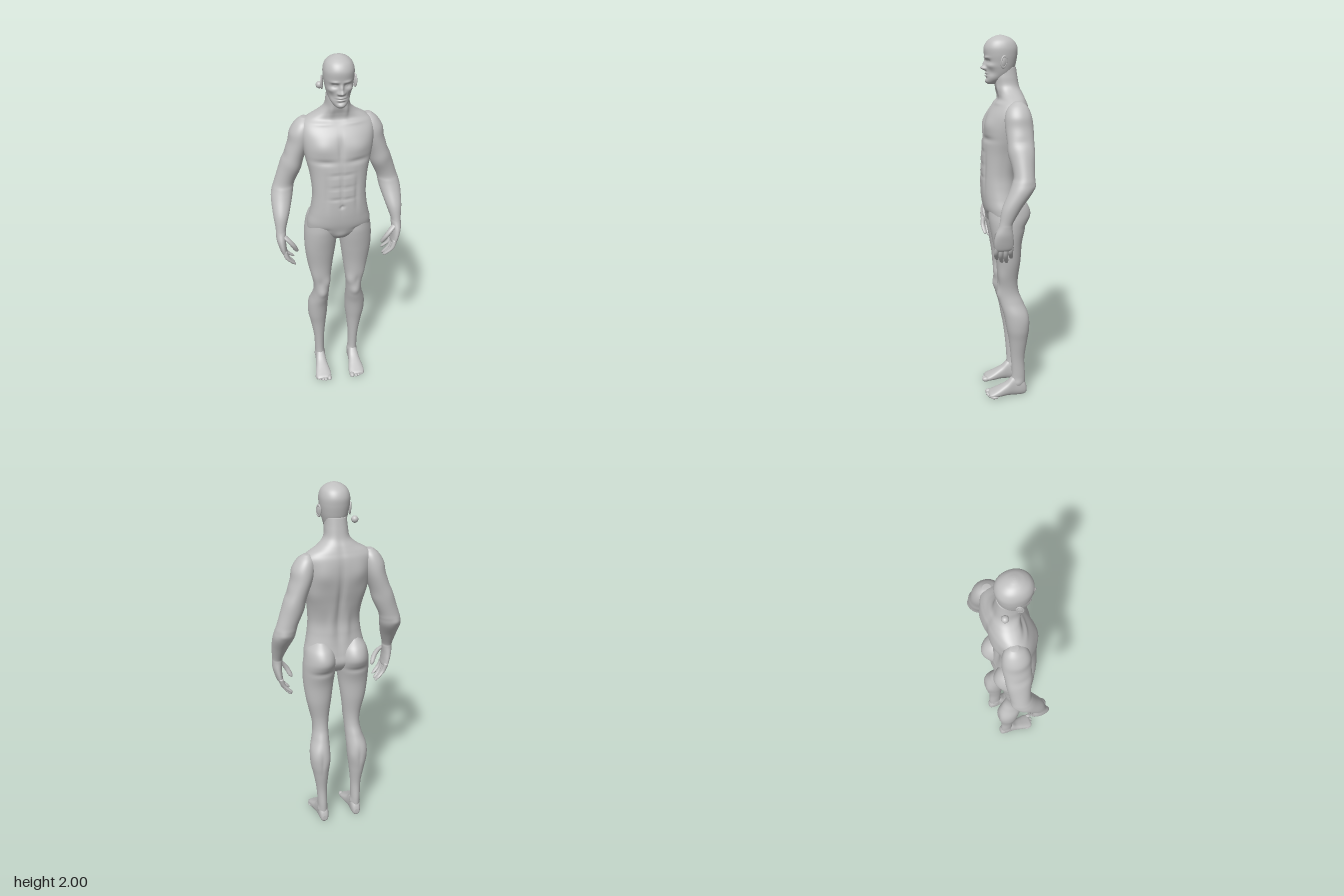
import * as THREE from 'three';

const skin = new THREE.MeshStandardMaterial({ color: 0xc0c0c0 });
skin.name = 'plain grey';

// Catmull-Rom value through four numbers
const cr = (a, b, c, d, t) =>
  0.5 * (2 * b + (c - a) * t + (2 * a - 5 * b + 4 * c - d) * t * t + (3 * b - a - 3 * c + d) * t * t * t);

// Skin over level sections [y, xMin, xMax, zBack, zFront], listed upwards.
// bumps [x, y, z, sx, sy, sz, amount] push the surface out (muscle) or in (groove).
function loft(rows, { side = 1, n = 48, steps = 6, power = 2, bumps = [], mirrorBumps = false } = {}) {
  const pos = [], index = [];
  const close = r => [r[0], (r[1] + r[2]) / 2, (r[1] + r[2]) / 2, (r[3] + r[4]) / 2, (r[3] + r[4]) / 2];
  const rings = [close(rows[0])];
  for (let i = 0; i < rows.length - 1; i++) {
    const at = k => rows[Math.min(rows.length - 1, Math.max(0, k))];
    for (let s = 0; s < steps; s++)
      rings.push(rows[i].map((_, k) => cr(at(i - 1)[k], at(i)[k], at(i + 1)[k], at(i + 2)[k], s / steps)));
  }
  rings.push(rows[rows.length - 1], close(rows[rows.length - 1]));
  const curve = v => Math.sign(v) * Math.pow(Math.abs(v), 2 / power);
  rings.forEach(([y, x0, x1, z0, z1]) => {
    const cx = (x0 + x1) / 2, cz = (z0 + z1) / 2;
    for (let j = 0; j < n; j++) {
      const a = (j / n) * Math.PI * 2;
      let x = cx + ((x1 - x0) / 2) * curve(Math.sin(a));
      let z = cz + ((z1 - z0) / 2) * curve(Math.cos(a));
      const len = Math.hypot(x - cx, z - cz) || 1;
      const dx = (x - cx) / len, dz = (z - cz) / len;
      const bx = mirrorBumps ? Math.abs(x) : x;
      let push = 0;
      for (const [px, py, pz, sx, sy, sz, amount] of bumps)
        push += amount * Math.exp(-(((bx - px) / sx) ** 2) - ((y - py) / sy) ** 2 - ((z - pz) / sz) ** 2);
      x += dx * push;
      z += dz * push;
      pos.push(x * side, y, z);
    }
  });
  for (let i = 0; i < rings.length - 1; i++)
    for (let j = 0; j < n; j++) {
      const a = i * n + j, b = i * n + ((j + 1) % n), c = b + n, d = a + n;
      if (side > 0) index.push(a, b, c, a, c, d);
      else index.push(a, c, b, a, d, c);
    }
  const g = new THREE.BufferGeometry();
  g.setAttribute('position', new THREE.Float32BufferAttribute(pos, 3));
  g.setIndex(index);
  g.computeVertexNormals();
  return g;
}

function add(parent, name, geometry) {
  const m = new THREE.Mesh(geometry, skin);
  m.name = name;
  parent.add(m);
  return m;
}

function ball(parent, name, p, s) {
  const m = add(parent, name, new THREE.SphereGeometry(1, 24, 16));
  m.position.set(...p);
  m.scale.set(...s);
  return m;
}

// Tapered digit along points listed upwards; the lowest is the tip
function digit(points, r, side) {
  const rows = points.map(([x, y, z], i) => {
    const w = i === 0 ? r * 0.45 : i === 1 ? r * 0.85 : r;
    return [y, x - w, x + w, z - w, z + w];
  });
  return loft(rows, { side, n: 14, steps: 4 });
}

// Symmetric section: half width, back, front
const sym = rows => rows.map(([y, w, b, f]) => [y, -w, w, b, f]);

export function createModel() {
  const model = new THREE.Group();
  model.name = 'standingFigure';

  // Torso and neck
  const abLines = [1.405, 1.335, 1.27].map(y => [0.03, y, 0.12, 0.035, 0.008, 0.05, -0.005]);
  add(model, 'torso', loft(sym([
    [0.985, 0.04, -0.04, 0.035], [1.0, 0.09, -0.06, 0.06], [1.05, 0.165, -0.09, 0.095],
    [1.1, 0.172, -0.085, 0.115], [1.16, 0.158, -0.075, 0.125], [1.22, 0.147, -0.066, 0.128],
    [1.29, 0.142, -0.064, 0.127], [1.39, 0.152, -0.088, 0.122], [1.47, 0.17, -0.108, 0.116],
    [1.54, 0.183, -0.12, 0.106], [1.6, 0.188, -0.122, 0.088], [1.645, 0.182, -0.118, 0.058],
    [1.675, 0.152, -0.108, 0.034], [1.705, 0.1, -0.096, 0.035], [1.74, 0.066, -0.08, 0.046],
    [1.79, 0.058, -0.07, 0.055], [1.84, 0.053, -0.062, 0.05]
  ]), {
    n: 112, steps: 9, power: 2.3, mirrorBumps: true, bumps: [
      [0.085, 1.55, 0.1, 0.06, 0.045, 0.06, 0.012],     // chest
      [0.085, 1.475, 0.11, 0.06, 0.014, 0.06, -0.008],
      [0, 1.54, 0.11, 0.012, 0.06, 0.06, -0.009],       // breastbone
      [0, 1.33, 0.13, 0.009, 0.11, 0.05, -0.006],       // belly line
      [0, 1.225, 0.13, 0.009, 0.009, 0.05, -0.01],      // navel
      [0.08, 1.3, 0.1, 0.012, 0.09, 0.06, -0.006],
      [0.09, 1.07, 0.09, 0.03, 0.015, 0.05, -0.006],    // groin
      [0, 1.03, 0.08, 0.035, 0.03, 0.05, 0.012],
      [0.085, 1.66, 0.04, 0.06, 0.01, 0.06, 0.007],     // collar bone
      [0.035, 1.72, 0.03, 0.012, 0.04, 0.03, 0.006],    // neck muscle
      [0, 1.4, -0.1, 0.016, 0.22, 0.06, -0.014],        // spine
      [0.09, 1.57, -0.12, 0.05, 0.06, 0.06, 0.01],      // shoulder blade
      [0.13, 1.44, -0.07, 0.04, 0.07, 0.06, 0.006],
      [0.04, 1.26, -0.065, 0.022, 0.09, 0.04, 0.009],
      ...abLines
    ]
  }));

  // Head with brow, sockets, nose, lips and chin
  const head = new THREE.Group();
  head.name = 'head';
  model.add(head);
  add(head, 'skullAndFace', loft(sym([
    [1.752, 0.016, 0.05, 0.084], [1.762, 0.03, 0.02, 0.094], [1.78, 0.045, -0.01, 0.096],
    [1.805, 0.057, -0.04, 0.095], [1.835, 0.065, -0.055, 0.096], [1.865, 0.071, -0.063, 0.098],
    [1.9, 0.076, -0.069, 0.104], [1.935, 0.076, -0.07, 0.106], [1.965, 0.066, -0.057, 0.092],
    [1.985, 0.046, -0.033, 0.068], [1.996, 0.022, -0.004, 0.042], [2.0, 0.006, 0.014, 0.026]
  ]), {
    n: 120, steps: 9, power: 2.15, mirrorBumps: true, bumps: [
      [0, 1.834, 0.1, 0.011, 0.011, 0.04, 0.026],       // nose tip
      [0, 1.855, 0.1, 0.009, 0.018, 0.04, 0.014],       // nose bridge
      [0.013, 1.83, 0.1, 0.007, 0.007, 0.04, 0.008],    // nostril
      [0.031, 1.868, 0.09, 0.016, 0.011, 0.04, -0.012], // socket
      [0.031, 1.867, 0.09, 0.009, 0.006, 0.04, 0.005],  // eye
      [0.03, 1.886, 0.1, 0.02, 0.007, 0.04, 0.006],     // brow
      [0.048, 1.845, 0.08, 0.016, 0.013, 0.04, 0.005],  // cheekbone
      [0.045, 1.812, 0.07, 0.016, 0.018, 0.04, -0.005],
      [0, 1.807, 0.1, 0.019, 0.005, 0.04, 0.007],       // lips
      [0, 1.795, 0.1, 0.016, 0.005, 0.04, 0.007],
      [0, 1.801, 0.1, 0.022, 0.002, 0.04, -0.005],
      [0, 1.784, 0.1, 0.018, 0.006, 0.04, -0.005],
      [0, 1.767, 0.09, 0.016, 0.01, 0.04, 0.005]        // chin
    ]
  }));
  ball(model, 'looseBall', [-0.082, 1.828, -0.058], [0.018, 0.018, 0.018]);

  for (const side of [1, -1]) {
    const label = side > 0 ? 'left' : 'right';

    // Ear
    const ear = new THREE.Group();
    ear.name = label + 'Ear';
    ball(ear, 'earShell', [0, 0, 0], [0.006, 0.026, 0.015]);
    const rim = add(ear, 'earRim', new THREE.TorusGeometry(0.017, 0.0045, 10, 28));
    rim.rotation.y = Math.PI / 2;
    rim.scale.set(0.9, 1.6, 1);
    ear.position.set(side * 0.082, 1.866, 0.012);
    ear.rotation.set(-0.15, side * 0.35, 0);
    head.add(ear);

    // Arm from palm to shoulder
    add(model, label + 'Arm', loft([
      [0.93, 0.298, 0.315, 0.015, 0.08], [0.945, 0.29, 0.324, -0.002, 0.092], [0.98, 0.293, 0.335, -0.004, 0.096],
      [1.02, 0.294, 0.344, 0.0, 0.09], [1.06, 0.29, 0.345, 0.004, 0.074], [1.085, 0.288, 0.345, -0.002, 0.068],
      [1.155, 0.265, 0.352, -0.045, 0.055], [1.235, 0.24, 0.354, -0.103, 0.018], [1.28, 0.231, 0.345, -0.115, 0.0],
      [1.315, 0.222, 0.333, -0.116, -0.008], [1.39, 0.188, 0.308, -0.118, 0.002], [1.45, 0.172, 0.287, -0.12, 0.012],
      [1.54, 0.14, 0.254, -0.122, 0.022], [1.6, 0.125, 0.243, -0.115, 0.022], [1.645, 0.128, 0.215, -0.098, 0.005],
      [1.672, 0.148, 0.183, -0.07, -0.03]
    ], {
      side, n: 56, steps: 7, bumps: [
        [0.23, 1.41, 0.0, 0.04, 0.05, 0.04, 0.008],      // biceps
        [0.27, 1.42, -0.11, 0.04, 0.06, 0.04, 0.005],    // triceps
        [0.29, 1.48, -0.05, 0.03, 0.02, 0.06, -0.006],
        [0.31, 1.265, -0.115, 0.025, 0.02, 0.02, 0.006]  // elbow
      ]
    }));

    // Fingers and thumb
    const lengths = [0.868, 0.852, 0.85, 0.872];
    lengths.forEach((tip, i) => {
      const z = 0.08 - i * 0.025, mid = (tip + 0.96) / 2;
      add(model, label + 'Finger' + (i + 1), digit([
        [0.252, tip, z - 0.006], [0.262, tip + 0.012, z - 0.003],
        [0.293, mid, z + 0.004], [0.307, 0.96, z]
      ], 0.0125, side));
    });
    add(model, label + 'Thumb', digit([
      [0.238, 0.94, 0.058], [0.243, 0.953, 0.062], [0.26, 0.99, 0.074], [0.285, 1.025, 0.072], [0.312, 1.05, 0.055]
    ], 0.015, side));

    // Leg with buttock
    add(model, label + 'Leg', loft([
      [0.06, 0.076, 0.128, -0.105, -0.02], [0.125, 0.076, 0.131, -0.106, -0.03], [0.23, 0.075, 0.136, -0.101, -0.024],
      [0.34, 0.065, 0.154, -0.116, -0.012], [0.415, 0.057, 0.168, -0.125, 0.002], [0.5, 0.053, 0.167, -0.119, 0.018],
      [0.57, 0.052, 0.148, -0.092, 0.038], [0.63, 0.05, 0.139, -0.068, 0.047], [0.7, 0.044, 0.146, -0.062, 0.05],
      [0.81, 0.03, 0.171, -0.075, 0.058], [0.92, 0.015, 0.185, -0.083, 0.076], [1.01, 0.004, 0.186, -0.107, 0.092],
      [1.07, 0.005, 0.179, -0.124, 0.098], [1.13, 0.02, 0.163, -0.108, 0.09], [1.175, 0.06, 0.125, -0.06, 0.05]
    ], {
      side, n: 64, steps: 8, bumps: [
        [0.095, 0.615, 0.045, 0.025, 0.028, 0.03, 0.008],   // kneecap
        [0.062, 0.69, 0.04, 0.022, 0.035, 0.03, 0.008],     // inner thigh muscle
        [0.14, 0.73, 0.03, 0.025, 0.05, 0.03, 0.005],
        [0.105, 0.69, 0.05, 0.015, 0.03, 0.03, -0.004],
        [0.075, 0.45, -0.11, 0.025, 0.05, 0.04, 0.006],     // calf
        [0.145, 0.47, -0.1, 0.025, 0.05, 0.04, 0.005],
        [0.112, 0.43, -0.12, 0.01, 0.06, 0.03, -0.004],
        [0.095, 1.005, -0.1, 0.06, 0.015, 0.04, -0.007],    // buttock fold
        [0.085, 1.08, -0.12, 0.05, 0.04, 0.04, 0.006],
        [0.075, 0.09, -0.06, 0.02, 0.018, 0.025, 0.006],    // ankle bones
        [0.13, 0.08, -0.065, 0.02, 0.018, 0.025, 0.006]
      ]
    }));

    // Foot, built upright then laid forward
    const foot = loft([
      [-0.115, 0.088, 0.114, -0.05, -0.018], [-0.105, 0.078, 0.124, -0.078, -0.005], [-0.08, 0.072, 0.13, -0.11, 0],
      [-0.04, 0.072, 0.132, -0.118, 0], [0, 0.068, 0.138, -0.082, -0.002], [0.04, 0.06, 0.146, -0.058, 0],
      [0.075, 0.056, 0.15, -0.04, 0], [0.095, 0.062, 0.146, -0.03, -0.002], [0.104, 0.07, 0.138, -0.022, -0.006]
    ], { side, n: 40, power: 2.4 });
    foot.rotateX(Math.PI / 2);
    add(model, label + 'Foot', foot);

    // Toes
    for (let i = 0; i < 5; i++) {
      const r = i === 0 ? 0.0145 : 0.0105 - i * 0.0004;
      const x = i === 0 ? 0.071 : 0.078 + i * 0.0165;
      ball(model, label + 'Toe' + (i + 1), [side * x, r, 0.099 - i * i * 0.0016], [r, r, 0.022]);
    }
  }
  return model;
}
